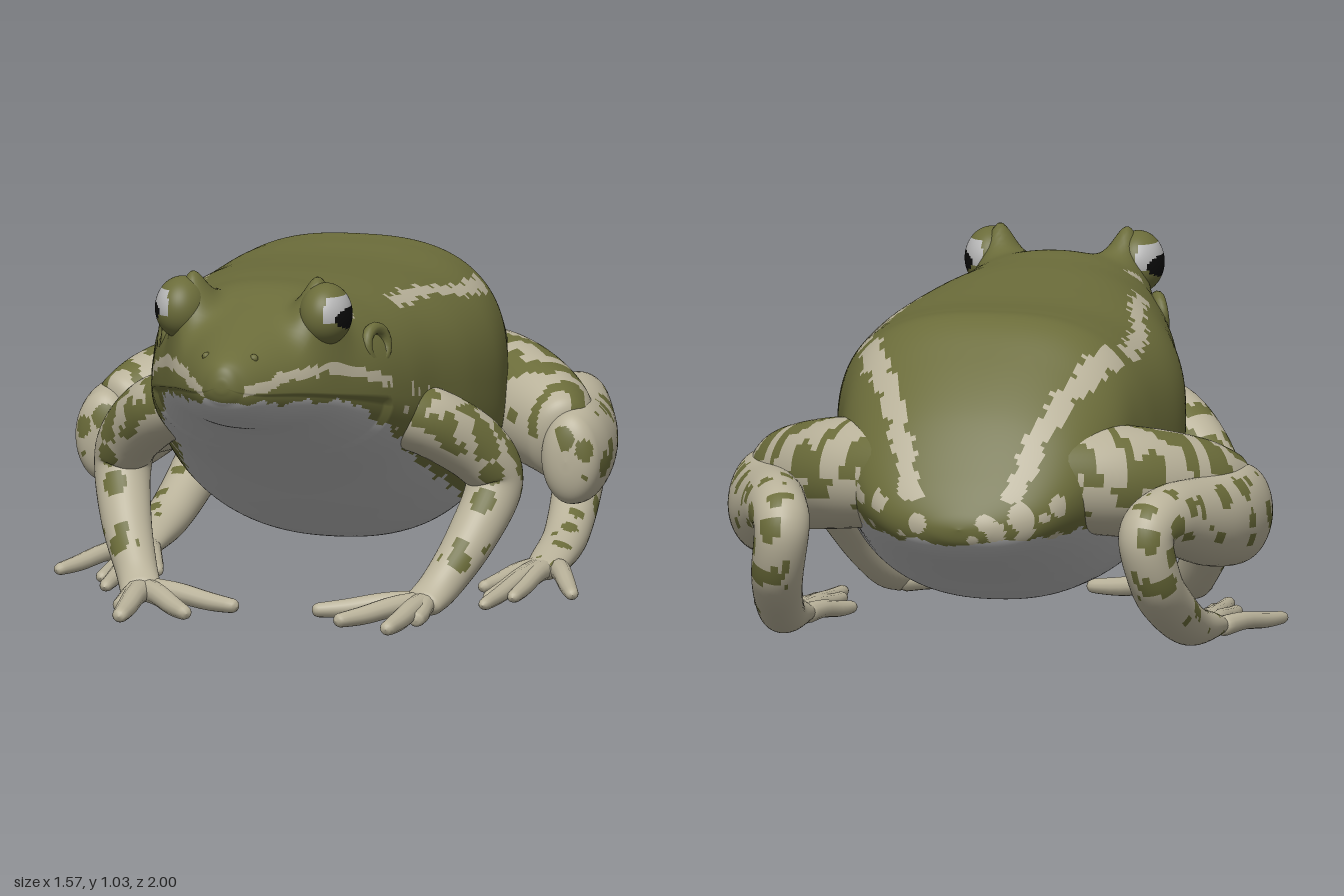
import * as THREE from 'three';

const OLIVE = 0, BEIGE = 1, PALE = 2, BLACK = 3;

// Catmull-Rom interpolation of every column of a table, t in 0..1
function sample(rows, t) {
  const f = Math.min(t * (rows.length - 1), rows.length - 1 - 1e-9), i = Math.floor(f), s = f - i;
  const row = (k) => rows[Math.max(0, Math.min(rows.length - 1, k))];
  const [a, b, c, d] = [row(i - 1), row(i), row(i + 1), row(i + 2)];
  return b.map((_, k) => b[k] + 0.5 * s * (c[k] - a[k]
    + s * (2 * a[k] - 5 * b[k] + 4 * c[k] - d[k] + s * (3 * (b[k] - c[k]) + d[k] - a[k]))));
}

// Piecewise linear lookup in [x, y] pairs with falling x
function line(pairs, x) {
  if (x >= pairs[0][0]) return pairs[0][1];
  for (let i = 1; i < pairs.length; i++) {
    const [x0, y0] = pairs[i - 1], [x1, y1] = pairs[i];
    if (x >= x1) return y0 + (y1 - y0) * (x0 - x) / (x0 - x1);
  }
  return pairs[pairs.length - 1][1];
}

const hash = (i, j, k, n) => {
  const h = Math.sin(i * 127.1 + j * 311.7 + k * 74.7 + n * 53.3) * 43758.5453;
  return h - Math.floor(h);
};

// True inside one of the round blotches scattered through space
function blotch(p, cell, radius) {
  const c = [p.x / cell, p.y / cell, p.z / cell], b = c.map(Math.floor);
  for (let i = -1; i < 2; i++) for (let j = -1; j < 2; j++) for (let k = -1; k < 2; k++) {
    const q = [b[0] + i, b[1] + j, b[2] + k];
    const d = Math.hypot(...q.map((v, n) => v + hash(...q, n) - c[n]));
    if (d < radius * (0.6 + 0.6 * hash(...q, 7))) return true;
  }
  return false;
}

const wobble = (p) => 0.006 * Math.sin(p.z * 61 + p.x * 23) + 0.005 * Math.sin(p.z * 113 + p.y * 40);

// Closed-around surface; point(u, v) gives {p, d}; pick(p, d) gives the colour of each face
function surface(name, mats, nu, nv, point, pick, side = 1) {
  const grid = [], pos = [], bins = [[], [], [], []];
  for (let i = 0; i <= nu; i++) for (let j = 0; j < nv; j++) {
    const g = point(i / nu, j / nv);
    grid.push(g);
    pos.push(g.p.x * side, g.p.y, g.p.z);
  }
  const mid = new THREE.Vector3();
  for (let i = 0; i < nu; i++) for (let j = 0; j < nv; j++) {
    const a = i * nv + j, c = i * nv + (j + 1) % nv, b = a + nv, e = c + nv;
    mid.copy(grid[a].p).add(grid[e].p).multiplyScalar(0.5);
    const bin = bins[pick(mid, grid[a].d)];
    if (side > 0) bin.push(a, b, c, b, e, c);
    else bin.push(a, c, b, b, c, e);
  }
  const geo = new THREE.BufferGeometry();
  geo.setAttribute('position', new THREE.Float32BufferAttribute(pos, 3));
  geo.setIndex(bins.flat());
  let start = 0;
  bins.forEach((bin, m) => {
    if (bin.length) geo.addGroup(start, bin.length, m);
    start += bin.length;
  });
  geo.computeVertexNormals();
  const mesh = new THREE.Mesh(geo, mats);
  mesh.name = name;
  return mesh;
}

// Round-ended limb through rows of [x, y, z, radiusA, radiusB]
function limb(name, mats, rows, ref, nu, nv, pick, side, cap = 0.08) {
  const at = (u) => new THREE.Vector3(...sample(rows, u).slice(0, 3));
  return surface(name, mats, nu, nv, (t, v) => {
    const u = t - 0.11 * Math.sin(2 * Math.PI * t), row = sample(rows, u);
    const T = at(Math.min(1, u + 0.01)).sub(at(Math.max(0, u - 0.01))).normalize();
    const S = T.clone().cross(ref).normalize(), B = S.clone().cross(T);
    const end = Math.max(0, 1 - Math.min(u, 1 - u) / cap);
    const r = Math.sqrt(Math.max(1e-6, 1 - end * end)), a = v * Math.PI * 2;
    const d = S.clone().multiplyScalar(Math.cos(a)).addScaledVector(B, Math.sin(a));
    const p = new THREE.Vector3(row[0], row[1], row[2])
      .addScaledVector(S, Math.cos(a) * row[3] * r).addScaledVector(B, Math.sin(a) * row[4] * r);
    return { p, d };
  }, pick, side);
}

// Body stations: z, top, bottom, half width, height of widest point, squareness
const BODY = [
  [1.0, .78, .78, 0, .78, 2], [.997, .805, .757, .025, .775, 2], [.98, .838, .725, .055, .765, 2],
  [.93, .867, .68, .105, .755, 2], [.8, .91, .63, .185, .74, 2], [.65, .955, .59, .265, .715, 2.1],
  [.5, .993, .515, .335, .69, 2.2], [.35, .99, .44, .385, .66, 2.3], [.2, .985, .36, .42, .64, 2.5],
  [0, .97, .24, .475, .61, 2.6], [-.2, .96, .14, .495, .58, 2.6], [-.4, .967, .13, .465, .58, 2.7],
  [-.52, .96, .16, .435, .58, 2.6], [-.65, .87, .22, .405, .56, 2.3], [-.8, .73, .28, .345, .52, 2.1],
  [-.92, .57, .33, .24, .46, 2], [-.98, .47, .38, .1, .43, 2], [-.995, .425, .425, 0, .425, 2],
];
const BELLY = [[1, .735], [.9, .72], [.75, .705], [.6, .685], [.45, .6], [.2, .46], [0, .36], [-.2, .27], [-.4, .34], [-.7, .41], [-1, .38]];
const STRIPE = [[.24, .3], [0, .33], [-.2, .38], [-.4, .385], [-.55, .335], [-.75, .235], [-.93, .15]];
const LIP = [[.97, .765], [.85, .79], [.68, .795], [.55, .755], [.44, .715]];

function bodyPoint(u, v) {
  const [z, top, bottom, w, mid, n] = sample(BODY, u);
  const a = v * Math.PI * 2, c = Math.cos(a), s = Math.sin(a);
  const e = 2 / (s > 0 ? n : Math.min(n, 2.3));
  const jaw = s < -0.05 && z > 0.45 ? 0.96 : 1;
  const x = Math.sign(c) * Math.abs(c) ** e * w * jaw;
  let y = mid + Math.sign(s) * Math.abs(s) ** e * (s > 0 ? top - mid : mid - bottom);
  // Brow swelling over each eye
  if (s > 0) y += .15 * Math.exp(-(((Math.abs(x) - .195) / .062) ** 2) - ((z - .64) / .085) ** 2) * Math.min(1, s * 2);
  return { p: new THREE.Vector3(x, y, z) };
}

function bodyColour(p) {
  const w = wobble(p), x = Math.abs(p.x), edge = line(BELLY, p.z) + w;
  if (p.y < edge) return PALE;
  if (p.z > .44 && p.z < .975 && Math.abs(p.y - line(LIP, p.z) + w * .5) < .015) return BEIGE;
  const wide = p.z < -.46 ? .028 : .02, gap = p.z < -.44 && p.z > -.48;
  if (p.z < .24 && p.z > -.95 && !gap && p.y > .5 && Math.abs(x - line(STRIPE, p.z) + w) < wide) return BEIGE;
  // Streak behind the eye, flecks by the shoulder and mottling on the rump
  if (Math.hypot((p.z - .49) / .035, (p.y - .925 + (p.z - .49) * .5) / .013) < 1) return BEIGE;
  if (p.z > .08 && p.z < .4 && p.y < .7 && blotch(p, .07, .34)) return BEIGE;
  if (p.z < -.45 && p.y < edge + .12 && blotch(p, .085, .42)) return BEIGE;
  return OLIVE;
}

const X = new THREE.Vector3(1, 0, 0), Y = new THREE.Vector3(0, 1, 0);
const spotted = (p, d) => (d.y > -.55 && d.x > -.5 && blotch(p, .088, .4) ? OLIVE : BEIGE);
const banded = (p, d) => (d.y > .1
  ? (Math.sin(p.z * 41 + p.x * 12 + 1.2 * Math.sin(p.x * 31) + .8 * Math.sin(p.z * 27 + p.x * 45)) > .15 ? OLIVE : BEIGE)
  : spotted(p, d));
const shoulder = (p, d) => (p.y > .45 && d.y > -.4 && blotch(p, .07, .46) ? OLIVE : spotted(p, d));
const plain = () => BEIGE;

const THIGH = [[.15, .54, -.76, .13, .14], [.38, .52, -.62, .16, .16], [.57, .47, -.43, .14, .15], [.67, .42, -.28, .08, .12]];
const SHANK = [
  [.69, .385, -.205, .12, .075], [.685, .39, -.35, .145, .1], [.64, .4, -.55, .13, .108], [.57, .44, -.79, .1, .09],
  [.53, .41, -.91, .08, .08], [.55, .27, -.87, .08, .075], [.57, .18, -.75, .075, .07], [.59, .1, -.57, .06, .065],
  [.6, .068, -.38, .042, .062], [.6, .05, -.24, .025, .05],
];
const ARM = [
  [.27, .6, .27, .09, .1], [.4, .56, .2, .1, .1], [.515, .46, .09, .1, .09], [.55, .36, .055, .085, .082],
  [.51, .22, .16, .068, .072], [.45, .1, .27, .055, .06], [.41, .05, .36, .034, .06],
];
const TOES = [[.48, -.06], [.54, .1], [.56, .22], [.61, .08], [.765, -.01]];
const FINGERS = [[.11, .42], [.22, .57], [.395, .665], [.44, .5]];

function digit(name, mats, [x0, y0, z0], [x1, z1], r, side) {
  const rows = [0, .35, .7, 1].map((t, i) => [
    x0 + (x1 - x0) * t, y0 + (.037 - y0) * t + (i === 1 ? .008 : 0), z0 + (z1 - z0) * t,
    r * [1.1, .9, .8, .6][i], r * [1, .85, .75, .55][i]]);
  return limb(name, mats, rows, Y, 16, 12, plain, side, .1);
}

export function createModel() {
  const mats = [['oliveSkin', 0x6b6c3a], ['beigeSkin', 0xb9b29a], ['paleBelly', 0xb6b6b6], ['eyeBlack', 0x0a0a0a]]
    .map(([name, color]) => Object.assign(new THREE.MeshStandardMaterial({ color }), { name }));
  const model = new THREE.Group();
  model.name = 'frog';
  model.add(surface('body', mats, 210, 128, bodyPoint, bodyColour));

  for (const side of [1, -1]) {
    const tag = side > 0 ? 'left' : 'right';
    const half = new THREE.Group();
    half.name = tag + 'Side';
    model.add(half);

    // Limbs
    half.add(limb(tag + 'Thigh', mats, THIGH, Y, 64, 50, banded, side, .12));
    half.add(limb(tag + 'LowerLeg', mats, SHANK, X, 150, 44, spotted, side, .05));
    half.add(limb(tag + 'Arm', mats, ARM, X, 96, 40, shoulder, side, .06));
    TOES.forEach((tip) => half.add(digit(tag + 'Toe', mats, [.6 + (tip[0] - .6) * .2, .055, -.33], tip, .031, side)));
    FINGERS.forEach((tip) => half.add(digit(tag + 'Finger', mats, [.42, .055, .31], tip, .036, side)));

    // Eye: olive lid and socket, pale iris, dark horizontal pupil
    const eye = new THREE.Vector3(.213, .942, .645);
    half.add(surface(tag + 'Eye', mats, 44, 56, (u, v) => {
      const a = u * Math.PI, b = v * Math.PI * 2;
      const d = new THREE.Vector3(Math.sin(a) * Math.cos(b), Math.cos(a), -Math.sin(a) * Math.sin(b));
      return { d, p: d.clone().multiply(new THREE.Vector3(.076, .09, .092)).add(eye) };
    }, (p, d) => {
      if (d.x < .2 || d.y < -.42 || d.y > .68) return OLIVE;
      if (Math.hypot(d.z / .82, (d.y + .02) / .36) < 1) return BLACK;
      return d.y > -.12 ? PALE : OLIVE;
    }, side));

    // Eardrum and nostril
    const ear = new THREE.Mesh(new THREE.TorusGeometry(.048, .018, 10, 24), mats[OLIVE]);
    ear.name = tag + 'Eardrum';
    ear.position.set(side * .312, .825, .46);
    ear.rotation.set(-.35, side * 1.2, 0);
    const nostril = new THREE.Mesh(new THREE.SphereGeometry(.013, 12, 8), mats[OLIVE]);
    nostril.name = tag + 'Nostril';
    nostril.position.set(side * .07, .85, .9);
    half.add(ear, nostril);
  }
  return model;
}
